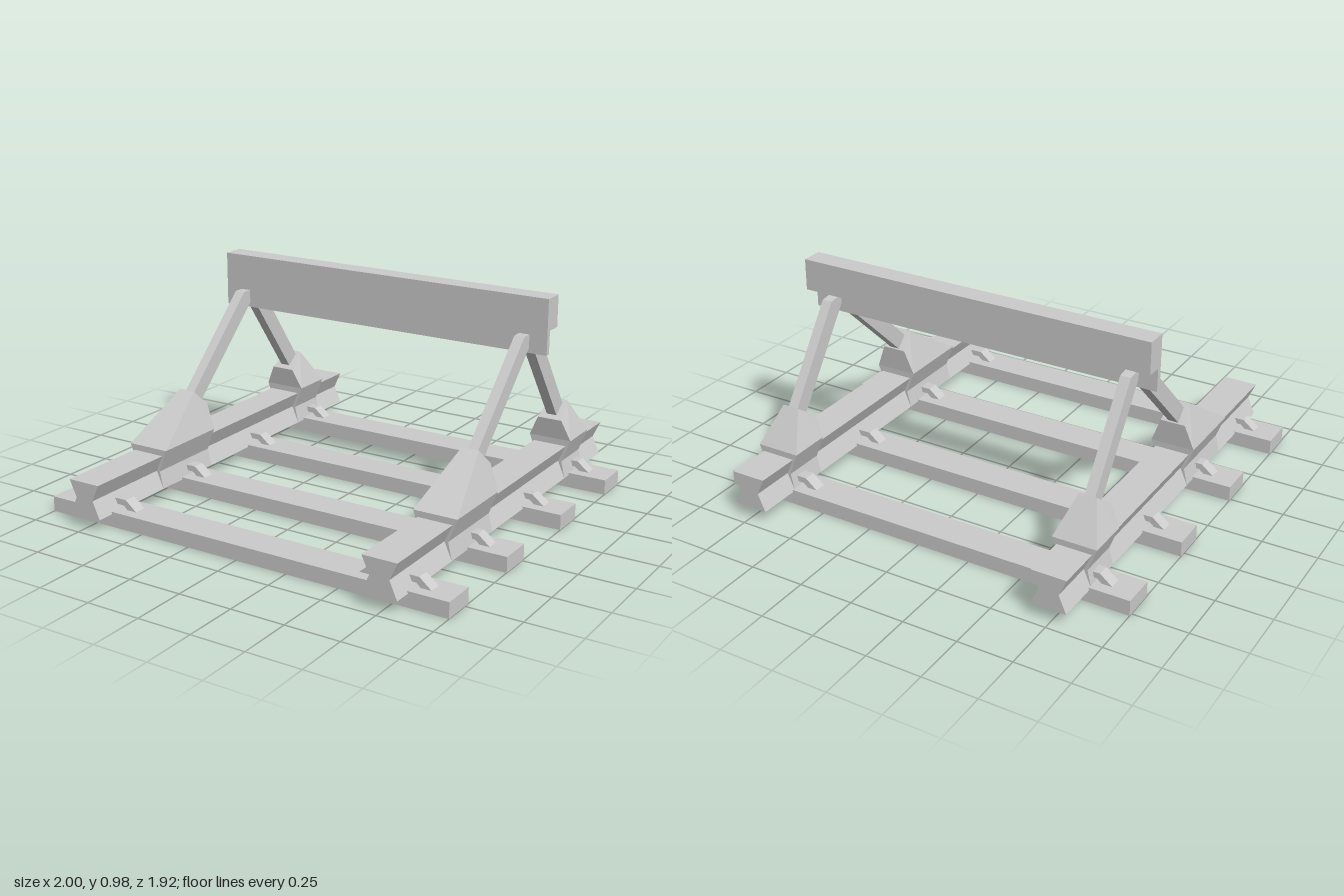
import * as THREE from 'three';
import { ConvexGeometry } from 'three/addons/geometries/ConvexGeometry.js';

const material = new THREE.MeshStandardMaterial({ color: 0xcccccc, flatShading: true });
const thinMaterial = new THREE.MeshStandardMaterial({ color: 0xcccccc, flatShading: true, side: THREE.DoubleSide });

const RAIL_X = 0.74;

function mesh(name, geometry, mat = material) {
  const m = new THREE.Mesh(geometry, mat);
  m.name = name;
  return m;
}

// Prism from an outline, centred on its depth axis
function prism(points, depth) {
  const shape = new THREE.Shape(points.map(([a, b]) => new THREE.Vector2(a, b)));
  return new THREE.ExtrudeGeometry(shape, { depth, bevelEnabled: false }).translate(0, 0, -depth / 2);
}

// Prism running along x, outline given as [z, y]
const sidePrism = (points, width) => prism(points, width).rotateY(-Math.PI / 2);

// Outline that is pinched at the waist, as [x, y]
function hourglass(bottom, waist, top, topY) {
  const right = [[bottom, 0.06], [waist, 0.14], [top, topY]];
  return [...right, ...right.map(([x, y]) => [-x, y]).reverse()];
}

// Clamp around the rail with a faceted hood that holds a strut
function foot(name, outerZ, innerZ, peak, lip) {
  const group = new THREE.Group();
  group.name = name;
  const sleeve = prism(hourglass(0.08, 0.062, 0.102, 0.245), Math.abs(outerZ - innerZ));
  sleeve.translate(0, 0, (outerZ + innerZ) / 2);
  const corners = [];
  for (const s of [-1, 1]) {
    corners.push(
      new THREE.Vector3(s * 0.102, 0.245, outerZ),
      new THREE.Vector3(s * 0.102, 0.245, innerZ),
      new THREE.Vector3(s * 0.04, peak[1], peak[0]),
      new THREE.Vector3(s * 0.058, lip[1], lip[0]),
    );
  }
  group.add(mesh('clampSleeve', sleeve), mesh('clampHood', new ConvexGeometry(corners)));
  return group;
}

// Hollow half sleeper, open underneath
function halfSleeper(side, z) {
  const box = new THREE.BoxGeometry(1, 0.07, 0.156);
  const index = Array.from(box.index.array);
  index.splice(18, 6); // drop the bottom face
  box.setIndex(index);
  box.clearGroups();
  box.translate(side * 0.5, 0.035, z);
  return mesh('sleeperHalf', box, thinMaterial);
}

export function createModel() {
  const model = new THREE.Group();
  model.name = 'bufferStop';

  // Sleepers and the bent clips holding the rails
  const clipOutline = [[0.163, 0.07], [0.108, 0.115], [0.05, 0.115], [0.05, 0.088], [0.095, 0.088], [0.118, 0.068]];
  for (const z of [0.8, 0.313, -0.203, -0.688]) {
    for (const side of [-1, 1]) {
      model.add(halfSleeper(side, z));
      for (const dir of [-1, 1]) {
        const clip = mesh('railClip', prism(clipOutline.map(([x, y]) => [x * dir, y]), 0.055));
        clip.position.set(side * 0.732, 0, z);
        model.add(clip);
      }
    }
  }

  // Rails with their feet and struts
  for (const side of [-1, 1]) {
    const track = new THREE.Group();
    track.name = side > 0 ? 'leftRailAssembly' : 'rightRailAssembly';
    track.position.x = side * RAIL_X;
    track.add(
      mesh('rail', prism(hourglass(0.08, 0.045, 0.08, 0.217), 1.92)),
      foot('frontFoot', 0.527, 0.17, [0.235, 0.435], [0.16, 0.36]),
      foot('rearFoot', -0.752, -0.56, [-0.643, 0.41], [-0.545, 0.34]),
      mesh('frontStrut', sidePrism(
        [[0.22, 0.415], [-0.195, 0.815], [-0.255, 0.815], [-0.255, 0.765], [0.17, 0.36]], 0.048)),
      mesh('rearStrut', sidePrism(
        [[-0.265, 0.815], [-0.34, 0.805], [-0.63, 0.395], [-0.57, 0.35], [-0.265, 0.775]], 0.048)),
    );
    model.add(track);
  }

  // Cross beam: tall front plate with a thicker upper part behind it
  model.add(mesh('bufferBeam', sidePrism(
    [[-0.244, 0.732], [-0.244, 0.983], [-0.342, 0.983], [-0.342, 0.838], [-0.268, 0.838], [-0.268, 0.732]], 1.696)));

  return model;
}
